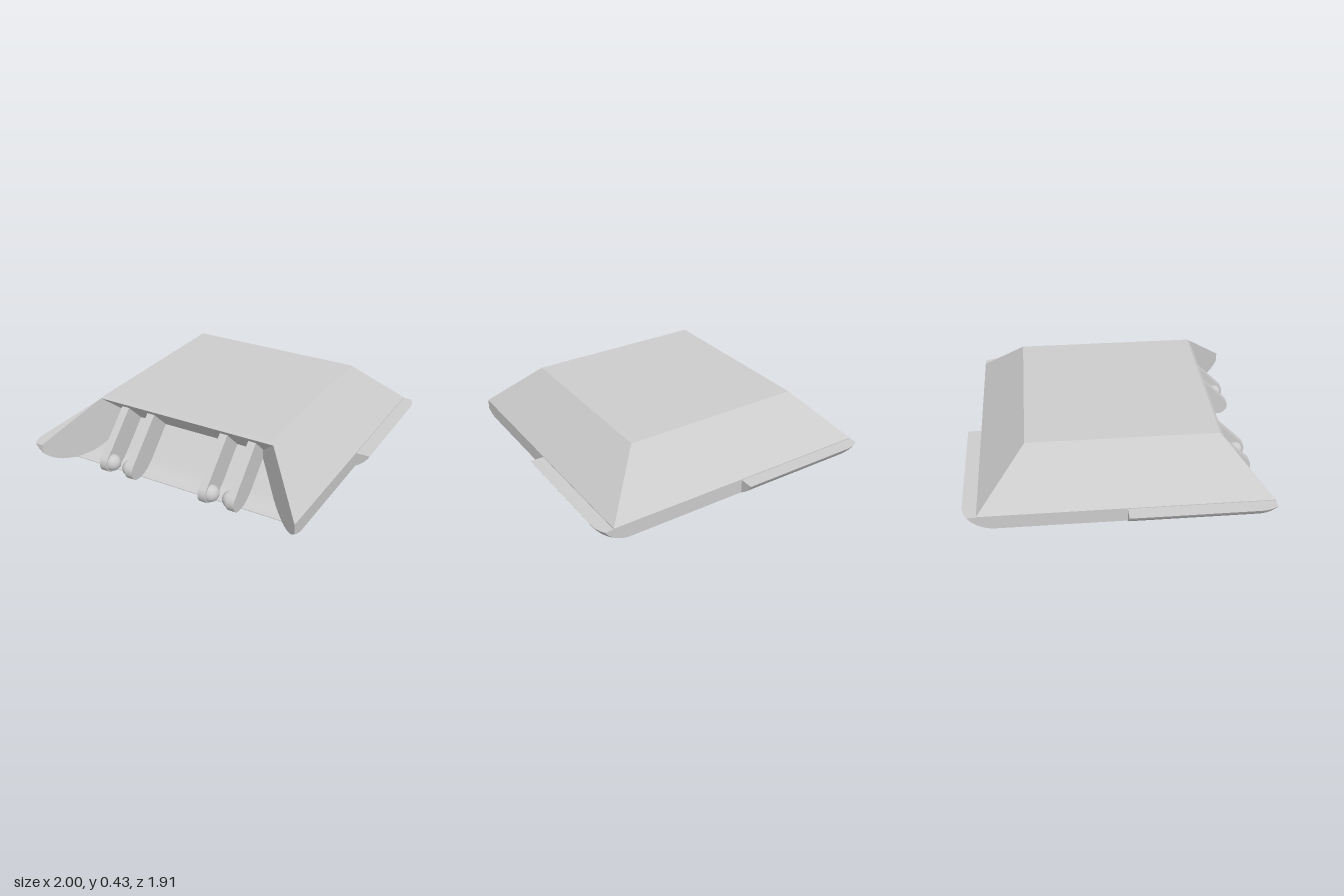
import * as THREE from 'three';

const TOP = 0.43, RIM = 0.125, IN = 0.605, OUT = 0.91;   // heights and half widths of the body
const CORE = 0.8, REACH = 0.2, R = 0.2267;               // rounded underside
const CUT = 0.461, LIP = 0.755, BROW = 0.626;            // front recess: apex, floor edge, roof edge
const mat = new THREE.MeshStandardMaterial({ color: 0xcccccc });

// Height of the rounded underside
function bowl(x, z) {
  const d = Math.hypot(Math.max(Math.abs(x) - CORE, 0), Math.max(Math.abs(z) - CORE, 0));
  return R - Math.sqrt(Math.max(R * R - d * d, 0));
}
// Concave floor and sloping ceiling of the front recess, by depth
const floorY = (w) => {
  const r = 0.23;
  return w < CORE - r * Math.SQRT1_2
    ? CORE - r * (Math.SQRT2 - 1) - w
    : r - Math.sqrt(r * r - (CORE - w) ** 2);
};
const ceilingY = (w) => w - 0.217;
const slopeY = (w) => TOP + IN - w;
const flangeEdge = (s) => CORE + Math.sqrt(REACH ** 2 - Math.max(s - CORE, 0) ** 2);
const lerp = THREE.MathUtils.lerp;

// Surface patch from a rule (u, v) -> [x, y, z], turned to face the direction "facing"
function patch(name, rule, nu, nv, facing) {
  const pos = [], idx = [];
  for (let i = 0; i <= nu; i++) for (let j = 0; j <= nv; j++) pos.push(...rule(i / nu, j / nv));
  const a = new THREE.Vector3(), b = new THREE.Vector3(), c = new THREE.Vector3();
  const at = (k, v) => v.fromArray(pos, k * 3);
  const sum = new THREE.Vector3();
  for (let i = 0; i < nu; i++) for (let j = 0; j < nv; j++) {
    const p = i * (nv + 1) + j, q = p + nv + 1;
    for (const t of [[p, q, q + 1], [p, q + 1, p + 1]]) {
      idx.push(...t);
      at(t[0], a); at(t[1], b).sub(a); at(t[2], c).sub(a);
      sum.add(b.cross(c));
    }
  }
  if (sum.dot(new THREE.Vector3(...facing)) < 0) idx.reverse();
  const g = new THREE.BufferGeometry();
  g.setAttribute('position', new THREE.Float32BufferAttribute(pos, 3));
  g.setIndex(idx);
  g.computeVertexNormals();
  const m = new THREE.Mesh(g, mat);
  m.name = name;
  return m;
}

function buildBody() {
  const g = new THREE.Group();
  g.name = 'body';
  g.add(patch('topPlate', (u, v) => [lerp(-IN, IN, u), TOP, lerp(-IN, IN, v)], 1, 1, [0, 1, 0]));
  g.add(patch('underside', (u, v) => {
    const x = lerp(-OUT, OUT, u), z = lerp(-OUT, Math.max(LIP, Math.abs(x)), v);
    return [x, bowl(x, z), z];
  }, 80, 80, [0, -1, 0]));

  // Sloping sides and the upright rims below them: right, back, left
  for (const turn of [0, 1, 2]) {
    const side = new THREE.Group();
    side.name = ['leftSide', 'backSide', 'rightSide'][turn];
    side.rotation.y = turn * Math.PI / 2;
    side.add(patch('slope', (u, v) => {
      const w = lerp(IN, OUT, u);
      return [w, slopeY(w), lerp(-w, w, v)];
    }, 1, 1, [1, 1, 0]));
    side.add(patch('rim', (u, v) => {
      const z = lerp(-OUT, OUT, u);
      return [OUT, lerp(bowl(OUT, z), RIM, v), z];
    }, 60, 1, [1, 0, 0]));
    g.add(side);
  }

  // Front recess: bands that widen along the mitred corners
  const band = (name, w0, w1, height, n, facing) => g.add(patch(name, (u, v) => {
    const w = lerp(w0, w1, u);
    return [lerp(-w, w, v), height(w), w];
  }, n, 1, facing));
  band('frontLip', IN, BROW, slopeY, 1, [0, 1, 1]);
  band('recessCeiling', CUT, BROW, ceilingY, 1, [0, -1, 1]);
  band('recessFloor', CUT, LIP, floorY, 20, [0, 1, 1]);
  g.add(patch('floorEdge', (u, v) => [lerp(-LIP, LIP, u), v * floorY(LIP), LIP], 1, 1, [0, 0, 1]));

  // Upright mitred faces at both ends of the recess
  const cheek = (s, w0, w1, top, bottom, n) => g.add(patch('recessCheek', (u, v) => {
    const w = lerp(w0, w1, u);
    return [s * w, lerp(bottom(w), top(w), v), w];
  }, n, 1, [-s, 0, 1]));
  for (const s of [-1, 1]) {
    cheek(s, CUT, BROW, ceilingY, floorY, 12);
    cheek(s, BROW, LIP, slopeY, floorY, 12);
    cheek(s, LIP, OUT, slopeY, (w) => bowl(w, w), 12);
  }
  return g;
}

// Half-length ledge continuing the rounded underside outwards
function buildFlange(name, turn) {
  const g = new THREE.Group();
  g.name = name;
  g.rotation.y = turn * Math.PI / 2;
  const rule = (height) => (u, v) => {
    const s = u * OUT, r = lerp(OUT, flangeEdge(s), v);
    return [r, height(r, s), -s];
  };
  const rimY = 0.12;
  g.add(patch('flangeTop', rule(() => rimY), 40, 1, [0, 1, 0]));
  g.add(patch('flangeUnderside', rule(bowl), 40, 10, [1, -1, 0]));
  for (const s of [0, OUT]) {
    g.add(patch('flangeEnd', (u, v) => {
      const r = lerp(OUT, flangeEdge(s), u);
      return [r, lerp(bowl(r, s), rimY, v), -s];
    }, 10, 1, [0, 0, s ? -1 : 1]));
  }
  return g;
}

// Slanted clip arms with a half ball on one face
function buildClip(x, ballSide) {
  const g = new THREE.Group();
  g.name = 'clip';
  const width = 0.053, ballZ = 0.79, ballY = 0.07;
  const s = new THREE.Shape();
  s.moveTo(CUT, ceilingY(CUT));
  for (let i = 0; i <= 8; i++) {
    const w = lerp(CUT, LIP, i / 8);
    s.lineTo(w, floorY(w));
  }
  s.absarc(ballZ, ballY, 0.065, -Math.PI / 2, Math.PI / 4, false);
  s.lineTo(0.584, ceilingY(0.584));
  const geo = new THREE.ExtrudeGeometry(s, { depth: width, bevelEnabled: false, curveSegments: 12 });
  geo.translate(0, 0, -width / 2).rotateY(-Math.PI / 2);
  const arm = new THREE.Mesh(geo, mat);
  arm.name = 'clipArm';
  const ball = new THREE.Mesh(
    new THREE.SphereGeometry(0.055, 24, 10, 0, Math.PI * 2, 0, Math.PI / 2).rotateZ(-ballSide * Math.PI / 2), mat);
  ball.name = 'clipBall';
  ball.position.set(ballSide * width / 2, ballY, ballZ);
  g.add(arm, ball);
  g.position.x = x;
  return g;
}

export function createModel() {
  const model = new THREE.Group();
  model.name = 'interlockingTile';
  const tile = new THREE.Group();
  tile.name = 'tile';
  tile.position.z = 0.045;
  tile.add(buildBody());
  ['leftFlange', 'backFlange', 'rightFlange'].forEach((n, i) => tile.add(buildFlange(n, i)));
  for (const s of [-1, 1]) {
    tile.add(buildClip(s * 0.463, -s));
    tile.add(buildClip(s * 0.267, s));
  }
  model.add(tile);
  return model;
}
